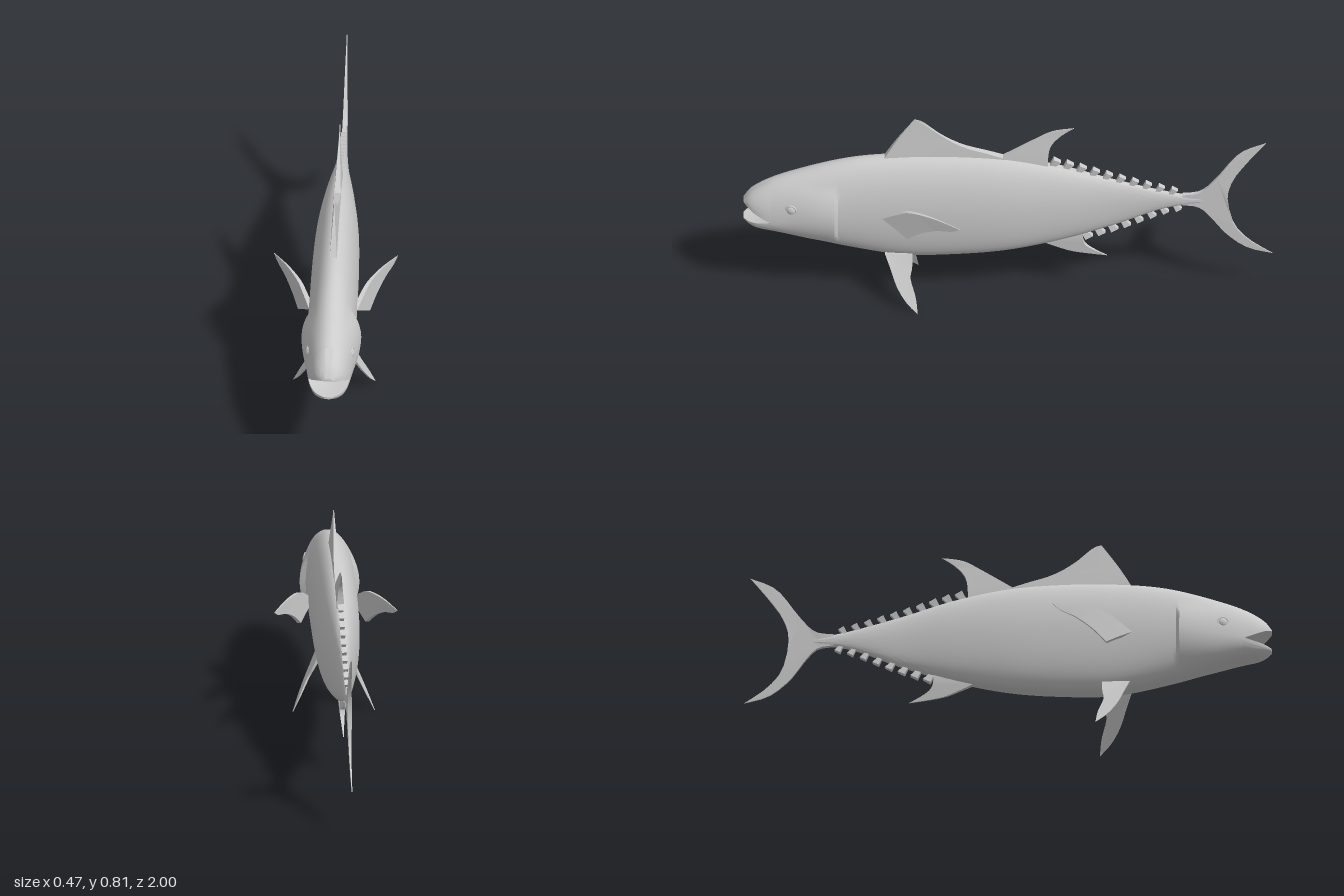
import * as THREE from 'three';
import { toCreasedNormals } from 'three/addons/utils/BufferGeometryUtils.js';

const material = new THREE.MeshStandardMaterial({ color: 0xcccccc, side: THREE.DoubleSide });

// Body stations from tail to nose: z, top, bottom, height of widest line, half width
const stations = [
  [-0.74, 0.447, 0.422, 0.435, 0.008],
  [-0.6, 0.475, 0.4, 0.437, 0.014],
  [-0.4, 0.53, 0.32, 0.43, 0.03],
  [-0.2, 0.592, 0.255, 0.425, 0.058],
  [0, 0.632, 0.21, 0.42, 0.08],
  [0.2, 0.645, 0.19, 0.42, 0.088],
  [0.4, 0.642, 0.188, 0.42, 0.09],
  [0.6, 0.62, 0.228, 0.41, 0.091],
  [0.8, 0.56, 0.285, 0.39, 0.089],
  [0.9, 0.52, 0.31, 0.375, 0.079],
  [0.95, 0.49, 0.32, 0.37, 0.064],
  [0.98, 0.465, 0.333, 0.37, 0.045],
  [1, 0.437, 0.345, 0.37, 0.018],
];
const profile = new THREE.CubicInterpolant(
  stations.map((s) => s[0]), stations.flatMap((s) => s.slice(1)), 4, new Float32Array(4));
const at = (z) => Array.from(profile.evaluate(z));

function named(geometry, name) {
  const mesh = new THREE.Mesh(geometry, material);
  mesh.name = name;
  return mesh;
}

// Closed skin over rings ordered by rising z, each counter-clockwise seen from the front
function loft(rings) {
  const n = rings[0].length;
  const points = rings.flat();
  const index = [];
  for (let i = 0; i < rings.length - 1; i++) {
    for (let j = 0; j < n; j++) {
      const a = i * n + j, b = i * n + (j + 1) % n;
      index.push(a, b, b + n, a, b + n, a + n);
    }
  }
  [0, rings.length - 1].forEach((r) => {
    const centre = points.length;
    const sum = rings[r].reduce((s, p) => s.add(p), new THREE.Vector3());
    points.push(sum.divideScalar(n));
    for (let j = 0; j < n; j++) {
      const a = r * n + j, b = r * n + (j + 1) % n;
      index.push(...(r ? [centre, a, b] : [centre, b, a]));
    }
  });
  const g = new THREE.BufferGeometry().setFromPoints(points);
  g.setIndex(index);
  return toCreasedNormals(g, 0.7);
}

// Rounded back, fuller belly
const across = (a, w) => {
  const c = Math.cos(a);
  return w * Math.sign(c) * Math.abs(c) ** (Math.sin(a) < 0 ? 0.7 : 1);
};

// Gill covers swell behind the eyes and stop at a sharp rear edge
function gillSwell(y, z) {
  if (z < 0.65) return 0;
  const along = 1 - THREE.MathUtils.smoothstep(z, 0.65, 0.88);
  return 0.022 * along * Math.max(0, 1 - ((y - 0.4) / 0.13) ** 2);
}

function bodyGeometry() {
  const zs = [0.642, 0.655];
  for (let i = 0; i <= 66; i++) zs.push(-0.74 + (i * 1.644) / 66);
  zs.sort((a, b) => a - b);
  return loft(zs.map((z) => {
    const [top, bottom, mid, w] = at(z);
    return Array.from({ length: 48 }, (_, j) => {
      const a = (j / 48) * Math.PI * 2, s = Math.sin(a);
      const y = mid + s * (s > 0 ? top - mid : mid - bottom);
      const x = across(a, w);
      return new THREE.Vector3(x + Math.sign(x) * gillSwell(y, z), y, z);
    });
  }));
}

// Half shells that part towards the nose; dir is 1 for the upper jaw, -1 for the lower
function jawGeometry(dir) {
  const rings = [];
  for (let i = 0; i <= 10; i++) {
    const z = 0.895 + 0.105 * Math.sin((i / 10) * Math.PI / 2);
    const [top, bottom, mid, w] = at(z);
    const open = Math.max(0, (z - 0.9) / 0.1);
    const lip = mid + open * (dir > 0 ? 0.058 : -0.016);
    const ring = [];
    for (let j = 0; j <= 24; j++) {
      const a = (j / 24) * Math.PI + (dir > 0 ? 0 : Math.PI);
      const reach = dir > 0 ? top - lip : lip - bottom;
      ring.push(new THREE.Vector3(across(a, w), lip + Math.sin(a) * reach, z));
    }
    // inside of the mouth, slightly hollowed
    for (let j = 1; j < 8; j++) {
      const t = j / 8;
      const hollow = dir * 0.012 * Math.sin(t * Math.PI) * (1 - open);
      ring.push(new THREE.Vector3(dir * w * (2 * t - 1), lip + hollow, z));
    }
    rings.push(ring);
  }
  return loft(rings);
}

// Fin from edges given as [z, y] points; halfWidth and lean are rules of (y, z)
function finGeometry(edges, halfWidth, lean = () => 0) {
  const outline = edges.flatMap((edge) => {
    const pts = edge.map(([z, y]) => new THREE.Vector2(-z, y));
    return pts.length > 2 ? new THREE.SplineCurve(pts).getPoints(14) : pts;
  }).filter((p, i, all) => i === 0 || p.distanceTo(all[i - 1]) > 1e-5);
  const g = new THREE.ExtrudeGeometry(new THREE.Shape(outline), { depth: 2, bevelEnabled: false });
  g.translate(0, 0, -1).rotateY(Math.PI / 2);
  const p = g.attributes.position;
  for (let i = 0; i < p.count; i++) {
    const y = p.getY(i), z = p.getZ(i);
    p.setX(i, p.getX(i) * halfWidth(y, z) + lean(y, z));
  }
  return toCreasedNormals(g, 0.6);
}

const taper = (from, to, thick) => (v) =>
  THREE.MathUtils.mapLinear(THREE.MathUtils.clamp(v, Math.min(from, to), Math.max(from, to)), from, to, thick, 0.0015);

export function createModel() {
  const model = new THREE.Group();
  model.name = 'fish';
  model.add(named(bodyGeometry(), 'body'));
  model.add(named(jawGeometry(1), 'upperJaw'), named(jawGeometry(-1), 'lowerJaw'));

  // Fins on the centre line
  model.add(named(finGeometry([
    [[0.47, 0.63], [0.42, 0.715], [0.355, 0.81]],
    [[0.355, 0.81], [0.32, 0.797], [0.25, 0.735], [0.17, 0.687], [0.08, 0.658], [0.01, 0.635]],
    [[0.01, 0.61], [0.47, 0.61]],
  ], taper(0.63, 0.79, 0.014)), 'frontDorsalFin'));
  model.add(named(finGeometry([
    [[0.03, 0.63], [-0.1, 0.717], [-0.17, 0.758], [-0.25, 0.772]],
    [[-0.25, 0.772], [-0.195, 0.732], [-0.158, 0.68], [-0.15, 0.595]],
    [[-0.14, 0.58], [0.02, 0.61]],
  ], taper(0.62, 0.76, 0.014)), 'rearDorsalFin'));
  model.add(named(finGeometry([
    [[-0.13, 0.24], [-0.18, 0.217], [-0.25, 0.19], [-0.375, 0.17]],
    [[-0.375, 0.17], [-0.31, 0.208], [-0.285, 0.24], [-0.28, 0.3]],
    [[-0.2, 0.3], [-0.13, 0.26]],
  ], taper(0.25, 0.17, 0.012)), 'analFin'));
  const tailThickness = taper(0, 0.25, 0.009);
  model.add(named(finGeometry([
    [[-0.66, 0.462], [-0.73, 0.475], [-0.79, 0.54], [-0.875, 0.655], [-0.975, 0.705]],
    [[-0.975, 0.705], [-0.905, 0.615], [-0.85, 0.53], [-0.83, 0.44], [-0.855, 0.32], [-0.915, 0.245], [-1, 0.185]],
    [[-1, 0.185], [-0.905, 0.212], [-0.825, 0.278], [-0.765, 0.36], [-0.72, 0.405], [-0.66, 0.415]],
  ], (y) => tailThickness(Math.abs(y - 0.44))), 'tailFin'));

  // Rows of finlets leading to the tail
  const finletRow = (count, first, last, dir, name) => {
    const row = new THREE.Group();
    row.name = name;
    for (let i = 0; i < count; i++) {
      const z = THREE.MathUtils.lerp(first, last, i / (count - 1));
      const [top, bottom] = at(z);
      const base = dir > 0 ? top : bottom;
      const size = 1 - 0.25 * (i / (count - 1));
      const corner = ([dz, dy]) => [z + dz * size, base + dir * dy * size];
      const low = [[0.012, -0.012], [-0.01, -0.012]].map(corner);
      const high = [[-0.036, 0.014], [-0.008, 0.029]].map(corner);
      row.add(named(finGeometry([low, high], (y) => 0.007 + 0.2 * Math.max(0, dir * (y - base))), 'finlet'));
    }
    model.add(row);
  };
  finletRow(10, -0.165, -0.615, 1, 'upperFinlets');
  finletRow(8, -0.285, -0.63, -1, 'lowerFinlets');

  // Paired fins and eyes
  for (const [side, label] of [[1, 'left'], [-1, 'right']]) {
    model.add(named(finGeometry([
      [[0.475, 0.405], [0.42, 0.445], [0.37, 0.472], [0.28, 0.478], [0.18, 0.465]],
      [[0.18, 0.465], [0.21, 0.444], [0.27, 0.425], [0.33, 0.39], [0.38, 0.345]],
      [[0.38, 0.345], [0.42, 0.372], [0.475, 0.405]],
    ], (y, z) => taper(0.46, 0.2, 0.01)(z), (y, z) => side * (0.09 + 0.52 * (0.455 - z))), label + 'PectoralFin'));
    model.add(named(finGeometry([
      [[0.465, 0.215], [0.443, 0.16], [0.42, 0.1], [0.385, 0.045], [0.34, 0.002]],
      [[0.34, 0.002], [0.348, 0.06], [0.368, 0.125], [0.362, 0.165], [0.36, 0.215]],
    ], taper(0.2, 0.02, 0.006), (y) => side * (0.06 + 0.48 * (0.2 - y))), label + 'PelvicFin'));

    const eye = new THREE.Group();
    eye.name = label + 'Eye';
    const ball = named(new THREE.SphereGeometry(0.018, 20, 14), 'eyeball');
    ball.scale.z = 0.5;
    eye.add(ball, named(new THREE.TorusGeometry(0.02, 0.004, 8, 24), 'eyeRim'));
    eye.position.set(side * 0.084, 0.438, 0.82);
    eye.rotation.y = side * 1.35;
    model.add(eye);
  }
  return model;
}
